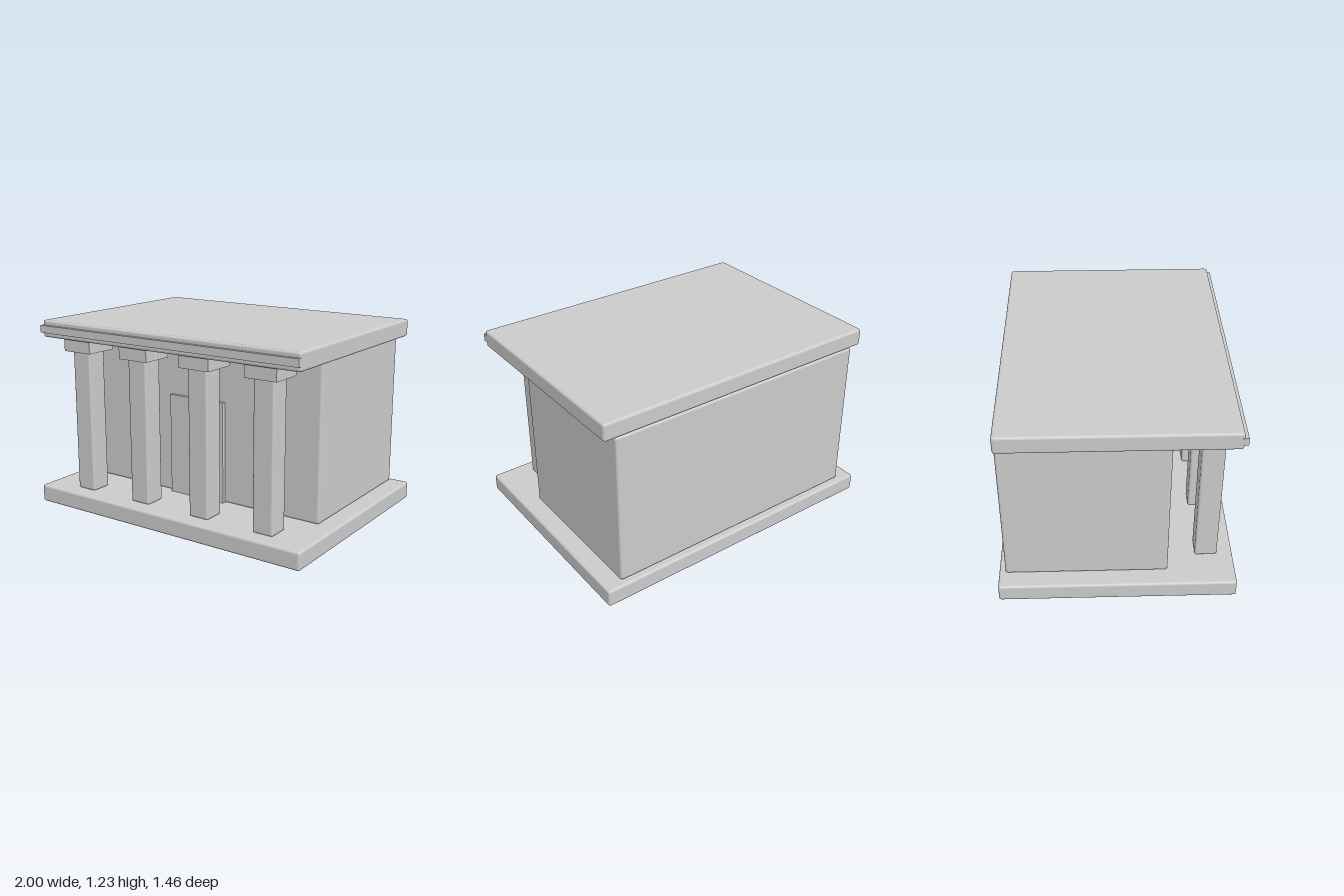
import * as THREE from 'three';
import { RoundedBoxGeometry } from 'three/addons/geometries/RoundedBoxGeometry.js';

export function createModel() {
  const model = new THREE.Group();
  model.name = 'columnedBuilding';
  const material = new THREE.MeshStandardMaterial({ color: 0xcccccc });

  // Box given by its limits on each axis; bevel 0 keeps the edges sharp
  function block(name, [x0, x1], [y0, y1], [z0, z1], bevel = 0, parent = model) {
    const size = [x1 - x0, y1 - y0, z1 - z0];
    const geometry = bevel
      ? new RoundedBoxGeometry(...size, 2, bevel)
      : new THREE.BoxGeometry(...size);
    const mesh = new THREE.Mesh(geometry, material);
    mesh.name = name;
    mesh.position.set((x0 + x1) / 2, (y0 + y1) / 2, (z0 + z1) / 2);
    parent.add(mesh);
  }

  // Main masses
  block('base', [-1, 1], [0, 0.115], [-0.73, 0.73], 0.016);
  block('hall', [-0.885, 0.885], [0.115, 1.12], [-0.69, 0.31], 0.016);
  block('roof', [-0.96, 0.96], [1.12, 1.232], [-0.69, 0.69], 0.016);

  // Front details
  block('roofBand', [-0.96, 0.96], [1.152, 1.2], [0.67, 0.712]);
  block('door', [-0.205, 0.205], [0.115, 0.772], [0.29, 0.333]);

  // Portico columns with square capitals
  for (const x of [-0.69, -0.23, 0.23, 0.69]) {
    const column = new THREE.Group();
    column.name = 'column';
    block('shaft', [x - 0.07, x + 0.07], [0.115, 1.06], [0.49, 0.63], 0.014, column);
    block('capital', [x - 0.107, x + 0.107], [1.043, 1.12], [0.452, 0.667], 0, column);
    model.add(column);
  }

  return model;
}
